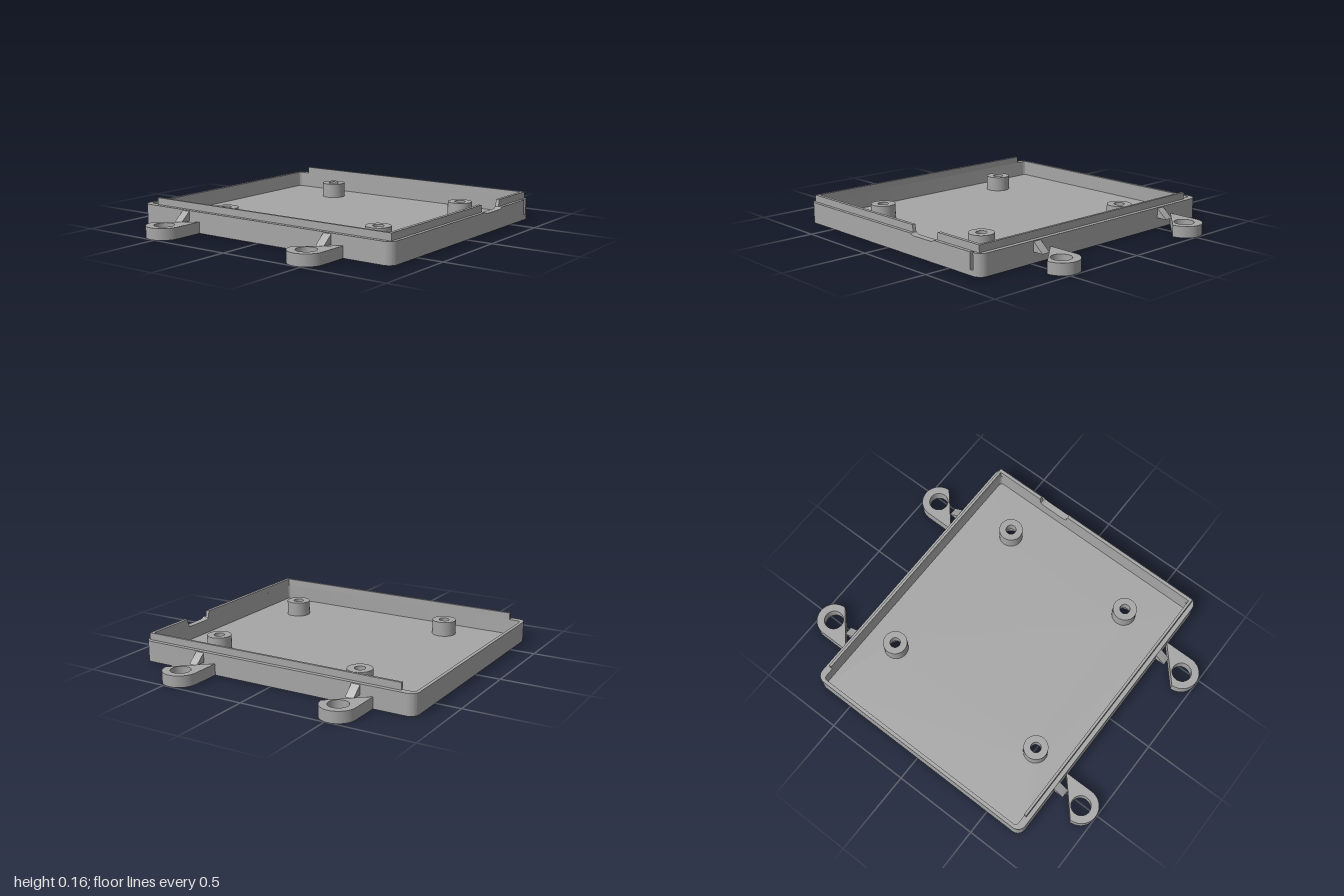
import * as THREE from 'three';
import { toCreasedNormals } from 'three/addons/utils/BufferGeometryUtils.js';

const PI = Math.PI;
const FLOOR = 0.03, RIM = 0.12, LIP = 0.16, BOSS = 0.115;
const bosses = [[-0.51, -0.42], [0.51, -0.42], [-0.42, 0.56], [0.42, 0.56]];

const shell = new THREE.MeshStandardMaterial({ color: 0xa6a6a6 });
shell.name = 'grey plastic';

function part(name, geometry, parent) {
  const mesh = new THREE.Mesh(toCreasedNormals(geometry, 0.6), shell);
  mesh.name = name;
  parent.add(mesh);
  return mesh;
}

const extrude = (shape, depth) =>
  new THREE.ExtrudeGeometry(shape, { depth, bevelEnabled: false, curveSegments: 16 });

// Plan shape (x, -z) raised from y0 to y1
const raise = (shape, y0, y1) =>
  extrude(shape, y1 - y0).rotateX(-PI / 2).translate(0, y0, 0);

// Elevation shape (x, y) extruded from z0 to z1
const panel = (points, z0, z1) =>
  extrude(new THREE.Shape(points.map(p => new THREE.Vector2(...p))), z1 - z0).translate(0, 0, z0);

function hole(x, y, r) {
  return new THREE.Path().absarc(x, y, r, 0, 2 * PI, true);
}

// Outer outline, from front right round the back to front left
function outline() {
  const s = new THREE.Shape();
  s.moveTo(0.66, -0.85);
  s.absarc(0.68, -0.8, 0.05, -PI / 2, 0, false);
  s.absarc(0.68, 0.805, 0.05, 0, PI / 2, false);
  s.absarc(-0.68, 0.805, 0.05, PI / 2, PI, false);
  s.absarc(-0.68, -0.8, 0.05, PI, 1.5 * PI, false);
  s.lineTo(-0.66, -0.85);
  return s;
}

export function createModel() {
  const model = new THREE.Group();
  model.name = 'enclosureBase';

  // Floor with screw holes
  const floor = outline();
  for (const [x, z] of bosses) floor.holes.push(hole(x, -z, 0.048));
  part('floor', raise(floor, 0, FLOOR), model);

  // Side and back walls with rounded inner corners
  const walls = outline();
  walls.lineTo(-0.66, -0.81);
  walls.absarc(-0.67, -0.79, 0.02, 1.5 * PI, PI, true);
  walls.absarc(-0.67, 0.815, 0.02, PI, PI / 2, true);
  walls.absarc(0.67, 0.815, 0.02, PI / 2, 0, true);
  walls.absarc(0.67, -0.79, 0.02, 0, -PI / 2, true);
  walls.lineTo(0.66, -0.81);
  part('sideAndBackWalls', raise(walls, FLOOR, RIM), model);

  // Front wall with the bottom of the cable notch
  part('frontWall', panel([
    [-0.66, FLOOR], [0.66, FLOOR], [0.66, RIM], [0.384, RIM], [0.376, 0.114], [0.362, 0.11],
    [0.218, 0.11], [0.204, 0.114], [0.196, RIM], [-0.66, RIM],
  ], 0.81, 0.85), model);

  // Raised lip: front pieces beside the notch, then the two sides
  part('frontLipRight', panel([[-0.705, RIM], [0.196, RIM], [0.187, LIP], [-0.705, LIP]], 0.81, 0.83), model);
  part('frontLipLeft', panel([[0.384, RIM], [0.705, RIM], [0.705, LIP], [0.393, LIP]], 0.81, 0.83), model);
  for (const side of [-1, 1]) {
    const lip = part('sideLip', new THREE.BoxGeometry(0.015, LIP - RIM, 1.575), model);
    lip.position.set(side * 0.6975, (RIM + LIP) / 2, 0.0225);
  }

  // Hollow screw posts, counterbored from below
  const profile = [
    [0.07, FLOOR], [0.07, BOSS], [0.03, BOSS], [0.03, 0.06], [0.048, 0.06], [0.048, 0],
  ].map(p => new THREE.Vector2(...p));
  for (const [x, z] of bosses) {
    part('screwPost', new THREE.LatheGeometry(profile, 32), model).position.set(x, 0, z);
  }

  // Mounting lugs with holes and bracing ribs
  const lugShape = new THREE.Shape();
  lugShape.moveTo(0.725, -0.1);
  lugShape.absarc(0.9, 0, 0.1, -PI / 2, PI / 2, false);
  lugShape.lineTo(0.725, 0.1);
  lugShape.holes.push(hole(0.9, 0, 0.056));
  for (const side of [-1, 1]) {
    for (const z of [-0.52, 0.46]) {
      const lug = new THREE.Group();
      lug.name = 'mountingLug';
      part('lugPlate', raise(lugShape, 0, 0.065), lug);
      part('lugRib', panel([[0.725, 0.06], [0.792, 0.06], [0.786, 0.068], [0.73, 0.115], [0.725, 0.115]],
        -0.025, 0.025), lug);
      lug.position.z = z;
      if (side < 0) lug.rotation.y = PI;
      model.add(lug);
    }
  }
  return model;
}
